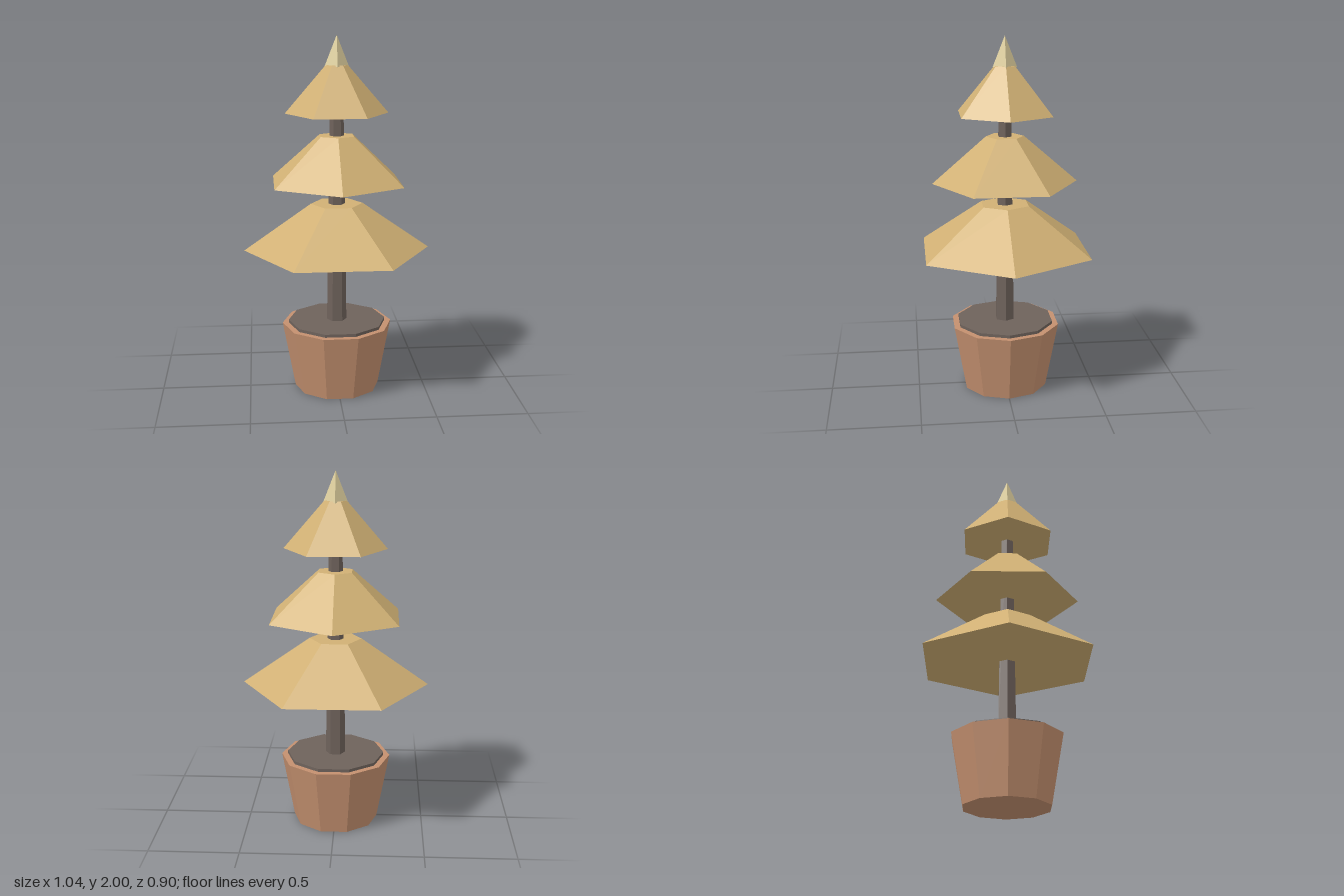
import * as THREE from 'three';

const material = (name, color) => {
  const m = new THREE.MeshStandardMaterial({ color, flatShading: true });
  m.name = name;
  return m;
};

export function createModel() {
  const tree = new THREE.Group();
  tree.name = 'pottedTree';

  const terracotta = material('terracotta', 0xc4906f);
  const darkBrown = material('dark brown', 0x6e625b);
  const gold = material('muted gold', 0xd0b074);
  const cream = material('pale cream', 0xdccd9c);

  // Tapered prism from y0 to y1; turn is the angle of its first corner from +z
  const prism = (name, mat, sides, rTop, rBottom, y0, y1, turn = 0) => {
    const geometry = new THREE.CylinderGeometry(rTop, rBottom, y1 - y0, sides, 1, false, turn);
    const mesh = new THREE.Mesh(geometry, mat);
    mesh.name = name;
    mesh.position.y = (y0 + y1) / 2;
    tree.add(mesh);
  };

  // Ten-sided pot with a raised disc of soil
  prism('pot', terracotta, 10, 0.31, 0.24, 0, 0.38, Math.PI / 10);
  prism('soil', darkBrown, 10, 0.275, 0.275, 0.36, 0.397, Math.PI / 10);

  // Trunk
  prism('trunk', darkBrown, 6, 0.036, 0.056, 0.38, 1.7, Math.PI / 6);

  // Foliage tiers, the middle one turned by half a side
  prism('lowerFoliage', gold, 6, 0.145, 0.52, 0.813, 1.075, Math.PI / 6);
  prism('middleFoliage', gold, 6, 0.105, 0.403, 1.198, 1.457);
  prism('upperFoliage', gold, 6, 0.06, 0.284, 1.58, 1.84, Math.PI / 6);

  // Four-sided tip
  prism('treeTip', cream, 4, 0, 0.066, 1.833, 2);

  return tree;
}
